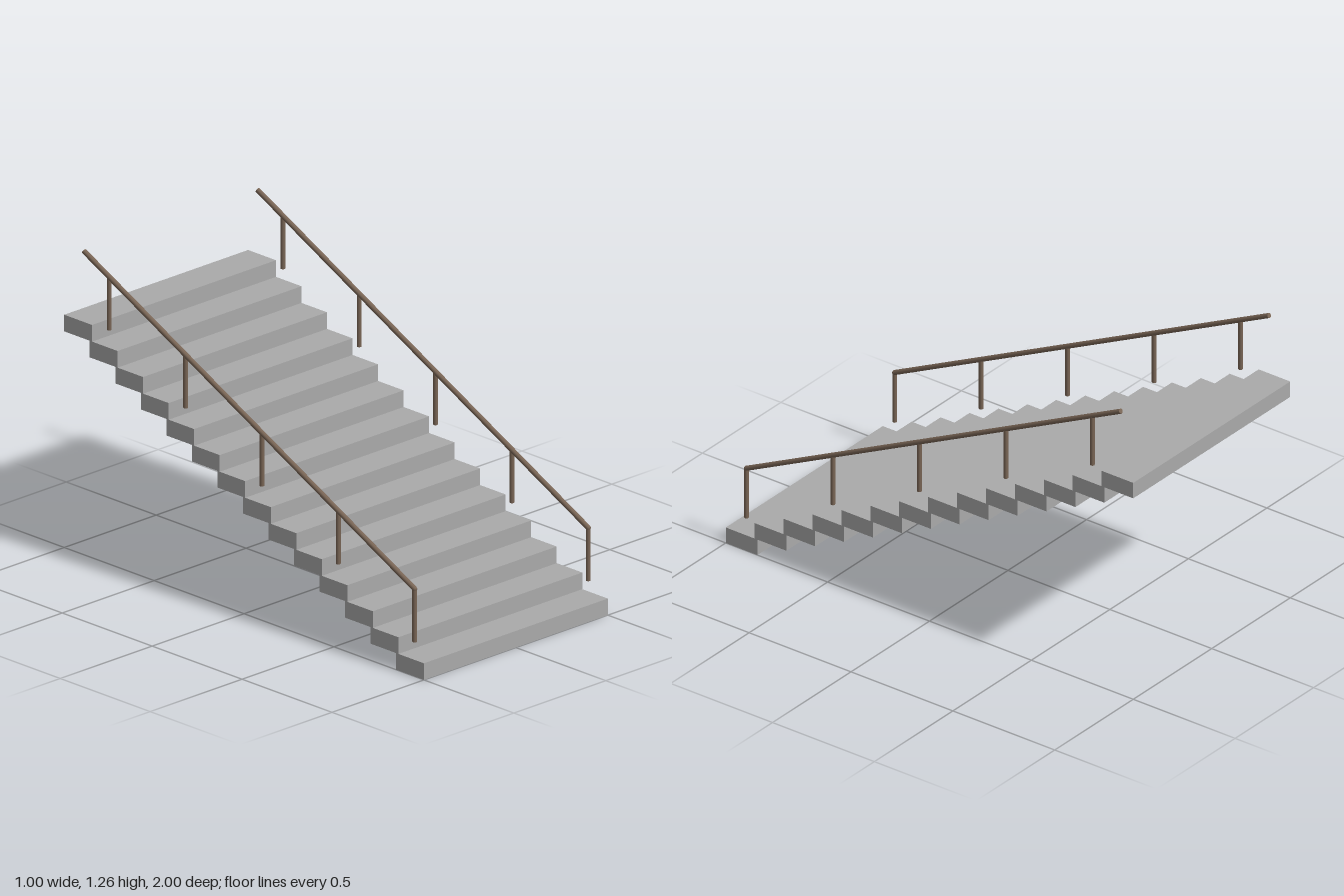
import * as THREE from 'three';

const STEPS = 14, HEIGHT = 0.97, RISE = HEIGHT / STEPS;
const TREAD = 0.155, PITCH = (2 - TREAD) / (STEPS - 1);
const RAIL_X = 0.472, RAIL_R = 0.0105, POST_R = 0.0095, POST_H = 0.22;
const RAIL_START = new THREE.Vector3(0, 0.35, 0.92);
const RAIL_END = new THREE.Vector3(0, 1.25, -0.918);

export function createModel() {
  const stone = new THREE.MeshStandardMaterial({ color: 0xaaaaaa });
  stone.name = 'stone grey';
  const bronze = new THREE.MeshStandardMaterial({ color: 0x7a6656 });
  bronze.name = 'bronze brown';

  // Round bar between two points
  function bar(name, a, b, radius) {
    const dir = b.clone().sub(a);
    const mesh = new THREE.Mesh(new THREE.CylinderGeometry(radius, radius, dir.length(), 8), bronze);
    mesh.name = name;
    mesh.position.copy(a).add(b).multiplyScalar(0.5);
    mesh.quaternion.setFromUnitVectors(new THREE.Vector3(0, 1, 0), dir.normalize());
    return mesh;
  }

  const model = new THREE.Group();
  model.name = 'staircase';

  // Slab steps, each slightly overlapping the one below in depth
  const steps = new THREE.Group();
  steps.name = 'steps';
  const slab = new THREE.BoxGeometry(1, RISE, TREAD);
  for (let i = 0; i < STEPS; i++) {
    const step = new THREE.Mesh(slab, stone);
    step.name = 'step' + (i + 1);
    step.position.set(0, (i + 0.5) * RISE, 1 - TREAD / 2 - i * PITCH);
    steps.add(step);
  }
  model.add(steps);

  // Handrail with five posts on each side
  for (const side of [1, -1]) {
    const railing = new THREE.Group();
    railing.name = side > 0 ? 'leftRailing' : 'rightRailing';
    railing.position.x = side * RAIL_X;
    railing.add(bar('handrail', RAIL_START, RAIL_END, RAIL_R));
    for (let i = 0; i < 5; i++) {
      const z = RAIL_START.z - i * 0.4245;
      const t = (RAIL_START.z - z) / (RAIL_START.z - RAIL_END.z);
      const top = RAIL_START.clone().lerp(RAIL_END, t);
      const foot = top.clone();
      foot.y -= POST_H;
      railing.add(bar('post' + (i + 1), foot, top, POST_R));
    }
    // Rounded elbow where the handrail meets the first post
    const elbow = new THREE.Mesh(new THREE.SphereGeometry(RAIL_R, 8, 6), bronze);
    elbow.name = 'elbow';
    elbow.position.copy(RAIL_START);
    railing.add(elbow);
    model.add(railing);
  }
  return model;
}
